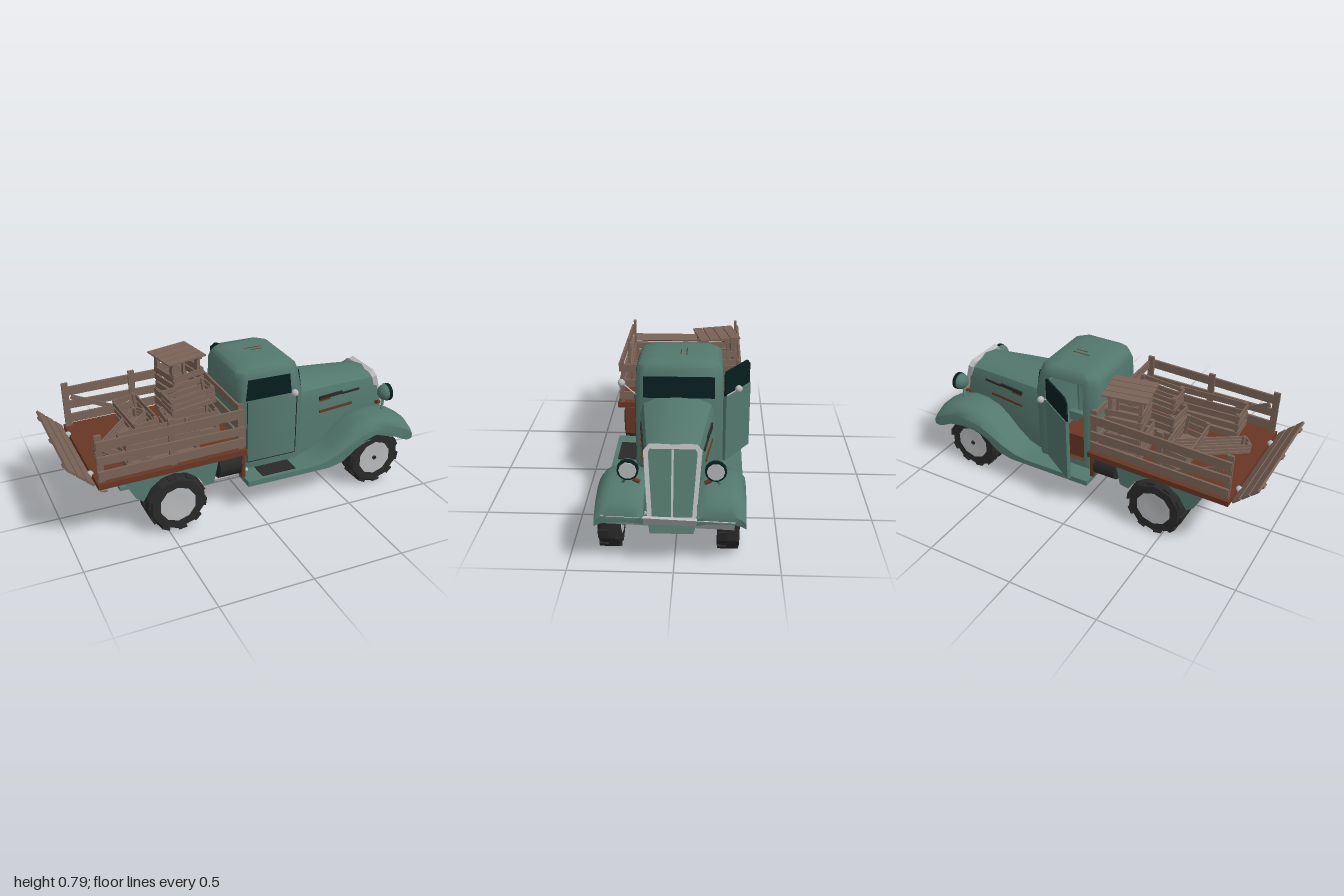
import * as THREE from 'three';
import { toCreasedNormals } from 'three/addons/utils/BufferGeometryUtils.js';

const paint = (name, color, side = THREE.FrontSide) => {
  const m = new THREE.MeshStandardMaterial({ color, side });
  m.name = name;
  return m;
};

export function createModel() {
  const teal = paint('teal paint', 0x53786d, THREE.DoubleSide);
  const glass = paint('dark glass', 0x071e1f);
  const rust = paint('rust', 0x683624);
  const wood = paint('weathered wood', 0x7a6357);
  const rubber = paint('black rubber', 0x292929);
  const metal = paint('grey metal', 0xb8babc);
  const amber = paint('tan lamp', 0xb09a84);

  const model = new THREE.Group();
  const truck = new THREE.Group();
  truck.name = 'truck';
  truck.position.z = 0.015;
  model.add(truck);

  const add = (name, geo, mat, pos = [0, 0, 0], rot = [0, 0, 0], parent = truck) => {
    const m = new THREE.Mesh(geo, mat);
    m.name = name;
    m.position.set(...pos);
    m.rotation.set(...rot);
    parent.add(m);
    return m;
  };
  const group = (name, pos, rot = [0, 0, 0], parent = truck) => {
    const g = new THREE.Group();
    g.name = name;
    g.position.set(...pos);
    g.rotation.set(...rot);
    parent.add(g);
    return g;
  };
  const box = (name, size, mat, pos, rot, parent) => add(name, new THREE.BoxGeometry(...size), mat, pos, rot, parent);
  const points = (pts) => pts.map((p) => new THREE.Vector2(...p));
  const shape = (pts) => new THREE.Shape(points(pts));
  const extrude = (s, depth, steps = 1) => new THREE.ExtrudeGeometry(s, { depth, steps, bevelEnabled: false });
  // cylinder between two points
  const rod = (name, a, b, r, mat, parent, sides = 10) => {
    const p = new THREE.Vector3(...a), q = new THREE.Vector3(...b);
    const m = add(name, new THREE.CylinderGeometry(r, r, p.distanceTo(q), sides), mat, p.clone().lerp(q, 0.5).toArray(), [0, 0, 0], parent);
    m.quaternion.setFromUnitVectors(new THREE.Vector3(0, 1, 0), q.sub(p).normalize());
    return m;
  };
  // skin over closed rings, last ring capped, chosen panels left open
  const loft = (rings, crease, open = () => false) => {
    const n = rings[0].length, idx = [];
    for (let i = 0; i < rings.length - 1; i++) for (let j = 0; j < n; j++) {
      if (open(i, j)) continue;
      const a = i * n + j, b = i * n + (j + 1) % n;
      idx.push(a, a + n, b, b, a + n, b + n);
    }
    const last = (rings.length - 1) * n;
    for (let j = 1; j < n - 1; j++) idx.push(last, last + j + 1, last + j);
    const g = new THREE.BufferGeometry();
    g.setAttribute('position', new THREE.Float32BufferAttribute(rings.flat(2), 3));
    g.setIndex(idx);
    return toCreasedNormals(g, crease);
  };

  // cab shell, rounded towards the roof, right doorway open
  const cab = group('cab', [0, 0, -0.013]);
  const cabRows = [[0.17, -0.05, 0.33, 0.228, 0.03], [0.24, -0.05, 0.335, 0.228, 0.03], [0.6, -0.05, 0.34, 0.226, 0.03],
    [0.72, -0.05, 0.318, 0.222, 0.04], [0.758, -0.045, 0.308, 0.214, 0.05], [0.78, -0.02, 0.285, 0.193, 0.05], [0.792, 0.04, 0.22, 0.14, 0.04]];
  const cabRings = cabRows.map(([y, a, b, h, r]) => [[a, -h + r], [a + r, -h], [a + (b - a) * 0.2, -h], [a + (b - a) * 0.77, -h],
    [b - r, -h], [b, -h + r], [b, h - r], [b - r, h], [a + r, h], [a, h - r]].map(([x, z]) => [x, y, z]));
  add('cabShell', loft(cabRings, 0.9, (i, j) => j === 2 && (i === 1 || i === 2)), teal, undefined, undefined, cab);
  box('windshield', [0.008, 0.11, 0.365], glass, [0.331, 0.66, 0], [0, 0, 0.18], cab);
  add('leftWindow', extrude(shape([[-0.008, 0.61], [0.262, 0.61], [0.25, 0.722], [0.005, 0.725]]), 0.006), glass, [0, 0, 0.2425], [-0.033, 0, 0], cab);
  for (const x of [0.0, 0.295]) box('doorSeam', [0.004, 0.36, 0.004], rubber, [x, 0.42, 0.228], undefined, cab);
  box('doorSeam', [0.295, 0.004, 0.004], rubber, [0.147, 0.24, 0.228], undefined, cab);
  box('roofScratch', [0.1, 0.002, 0.006], rust, [0.15, 0.792, -0.035], undefined, cab);
  box('roofScratch', [0.07, 0.002, 0.005], rust, [0.16, 0.792, -0.005], undefined, cab);
  box('seatBase', [0.2, 0.14, 0.36], rust, [0.07, 0.29, 0], undefined, cab);
  box('seatBack', [0.05, 0.35, 0.36], rust, [-0.015, 0.4, 0], undefined, cab);
  box('cabFloor', [0.36, 0.02, 0.4], rust, [0.14, 0.2, 0], undefined, cab);

  // right door swung open on its front hinge
  const door = group('openDoor', [0.25, 0, -0.235], [0, -0.56, 0], cab);
  box('doorPanel', [0.25, 0.37, 0.02], teal, [-0.125, 0.395, 0], undefined, door);
  add('doorWindow', extrude(shape([[0, 0.58], [0, 0.7], [-0.01, 0.715], [-0.225, 0.715], [-0.25, 0.69], [-0.25, 0.58]]), 0.009), glass, [0, 0, -0.0045], undefined, door);

  // hood and raked nose
  const hoodRing = (x, hw, low, top, rake) => {
    const half = [[low, 0.2], [hw, top - 0.1], [hw * 0.9, top - 0.037], [hw * 0.55, top - 0.008]];
    return [...half, [0, top], ...half.map(([z, y]) => [-z, y]).reverse()].map(([z, y]) => [x + (top - y) * rake, y, z]);
  };
  add('hood', loft([hoodRing(0.32, 0.195, 0.2, 0.612, 0), hoodRing(0.6, 0.16, 0.15, 0.603, 0.1), hoodRing(0.84, 0.13, 0.1, 0.59, 0.34)], 0.7), teal, [0, 0, -0.006]);
  for (const s of [1, -1])
    for (const [x, y, w, h, m] of [[0.54, 0.518, 0.16, 0.018, rubber], [0.68, 0.511, 0.12, 0.01, rubber], [0.5, 0.503, 0.07, 0.01, rust], [0.58, 0.434, 0.23, 0.014, rust]])
      box('hoodVent', [w, h, 0.009], m, [x, y, s * (0.197 - (x - 0.32) * 0.127) - 0.006], [0, s * 0.127, 0]);

  // grille on the raked nose
  const grille = group('grille', [0.95, 0.27, -0.008], [0, 0, 0.33]);
  const frame = shape([[-0.112, 0], [-0.135, 0.31], [-0.11, 0.338], [0.11, 0.338], [0.135, 0.31], [0.112, 0]]);
  frame.holes.push(shape([[-0.092, 0.004], [0.092, 0.004], [0.113, 0.3], [0.105, 0.318], [-0.105, 0.318], [-0.113, 0.3]]));
  const acrossNose = [0, Math.PI / 2, 0];
  add('grilleFrame', extrude(frame, 0.03), metal, [-0.018, 0, 0], acrossNose, grille);
  add('grillePanel', extrude(shape([[-0.1, 0], [0.1, 0], [0.12, 0.31], [0.1, 0.33], [-0.1, 0.33], [-0.12, 0.31]]), 0.006), teal, [-0.004, 0, 0], acrossNose, grille);
  box('grilleBar', [0.012, 0.31, 0.01], metal, [0.005, 0.16, 0], undefined, grille);
  for (let i = 0; i < 13; i++) box('grilleRib', [0.004, 0.004, 0.15 + i * 0.003], teal, [0.002, 0.025 + i * 0.022, 0], undefined, grille);

  // front fenders sweeping into the running boards, crowned towards the outer edge
  const fender = shape([[0.985, 0.262], [0.988, 0.305], [0.96, 0.348], [0.91, 0.38], [0.82, 0.402], [0.73, 0.4], [0.65, 0.378], [0.58, 0.335],
    [0.5, 0.265], [0.42, 0.215], [0.35, 0.2], [-0.05, 0.2], [-0.05, 0.17], [0.45, 0.17], [0.53, 0.19], [0.57, 0.23], [0.62, 0.29], [0.68, 0.33],
    [0.78, 0.338], [0.87, 0.315], [0.92, 0.275], [0.955, 0.255]]);
  const fenderWidth = 0.225;
  const fenderSkin = extrude(fender, fenderWidth, 10);
  const fp = fenderSkin.attributes.position;
  for (let i = 0; i < fp.count; i++) {
    const t = fp.getZ(i) / fenderWidth * 2 - 1, lift = THREE.MathUtils.clamp((fp.getY(i) - 0.2) / 0.15, 0, 1);
    fp.setY(i, fp.getY(i) - (t > 0 ? 0.055 : 0.025) * lift * Math.abs(t) ** 3.5);
  }
  const fenderGeo = toCreasedNormals(fenderSkin, 0.7);
  const rearFender = shape([[-0.73, 0.362], [-0.66, 0.23], [-0.62, 0.2], [-0.58, 0.27], [-0.52, 0.315], [-0.45, 0.33], [-0.38, 0.315],
    [-0.32, 0.27], [-0.28, 0.21], [-0.23, 0.22], [-0.2, 0.362]]);
  // wheel: blocky tyre with a plain hub disc
  const wheel = (name, x, z, w, s) => {
    const g = group(name, [x, 0.167, z], [Math.PI / 2 * s, 0, 0]);
    const profile = points([[0.1, -w], [0.146, -w], [0.162, -w * 0.7], [0.162, w * 0.7], [0.146, w], [0.1, w]]);
    add('tyre', toCreasedNormals(new THREE.LatheGeometry(profile, 10), 0.5), rubber, undefined, undefined, g);
    const dish = points([[0, -w * 0.7], [0.11, -w * 0.75], [0.112, w * 0.98], [0.1, w], [0.05, w * 0.9], [0, w * 0.95]]);
    add('hub', toCreasedNormals(new THREE.LatheGeometry(dish, 10), 0.5), metal, undefined, undefined, g);
    for (let i = 0; i < 10; i++) for (const e of [1, -1]) {
      const a = (i + (e > 0 ? 0.25 : 0.75)) * Math.PI / 5;
      box('treadLug', [0.045, w * 0.85, 0.012], rubber, [Math.sin(a) * 0.154, e * w * 0.53, Math.cos(a) * 0.154], [0, a, 0], g);
    }
    return g;
  };
  for (const s of [1, -1]) {
    add('frontFender', fenderGeo, teal, [0, 0, s * 0.122]).scale.z = s;
    add('rearFender', extrude(rearFender, 0.16), teal, [0, 0, s > 0 ? 0.14 : -0.3]);
    const front = wheel('frontWheel', 0.74, s > 0 ? 0.294 : -0.268, 0.053, s);
    add('hubCap', new THREE.CylinderGeometry(0.012, 0.012, 0.008, 8), rubber, [0, 0.053, 0], undefined, front);
    wheel('rearWheel', -0.45, s > 0 ? 0.268 : -0.258, 0.078, s);
    // headlights
    const lamp = group('headlight', [0.885, 0.485, s * 0.2 - 0.005], [0, 0, -Math.PI / 2]);
    add('lampBowl', new THREE.SphereGeometry(0.048, 14, 6, 0, Math.PI * 2, Math.PI / 2, Math.PI / 2), teal, undefined, undefined, lamp);
    add('lampRim', new THREE.CylinderGeometry(0.05, 0.05, 0.02, 14), glass, [0, 0.008, 0], undefined, lamp);
    add('lampLens', new THREE.CylinderGeometry(0.041, 0.043, 0.012, 10), metal, [0, 0.016, 0], undefined, lamp);
    rod('lampStalk', [0.87, 0.45, s * 0.2], [0.84, 0.38, s * 0.23], 0.007, teal);
    rod('lampBrace', [0.86, 0.42, s * 0.18 - 0.005], [0.86, 0.405, s * 0.15 - 0.005], 0.01, rust);
    // frame rails, tail lamps, bumper brackets
    box('frameRail', [1.5, 0.06, 0.035], teal, [0.06, 0.25, s * 0.12]);
    box('tailLampBracket', [0.02, 0.1, 0.02], wood, [-0.8, 0.32, s * 0.23]);
    add('tailLamp', new THREE.CylinderGeometry(0.022, 0.022, 0.03, 8), amber, [-0.81, 0.3, s * 0.24], [0, 0, Math.PI / 2]);
    add('gateHinge', new THREE.SphereGeometry(0.018, 8, 6), metal, [-0.866, 0.385, s * 0.225]);
    rod('bumperBracket', [0.85, 0.25, s * 0.1], [0.945, 0.26, s * 0.1], 0.01, metal);
    // fuel tanks
    rod('fuelTank', [-0.2, 0.29, s * 0.25], [-0.075, 0.29, s * 0.25], 0.07, rubber, truck, 12);
  }
  box('stepPlate', [0.2, 0.008, 0.1], rubber, [0.145, 0.201, 0.272]);
  // bumper blade leaning forward under the fender lips
  box('bumper', [0.012, 0.07, 0.61], metal, [0.966, 0.258, 0.01], [-0.04, 0, -0.55]);
  box('rearCabPanel', [0.02, 0.16, 0.62], rust, [-0.062, 0.295, 0]);
  box('tankBulkhead', [0.15, 0.14, 0.38], rust, [-0.135, 0.295, 0]);

  // mirrors, one on each door
  for (const [y, z, root] of [[0.645, 0.29, 0.215], [0.62, -0.32, -0.26]]) {
    rod('mirrorArm', [0.25, 0.585, root], [0.24, y, z], 0.004, metal);
    add('mirror', new THREE.SphereGeometry(0.02, 8, 6), metal, [0.24, y, z]);
  }

  // underside and running gear
  box('underTray', [0.66, 0.02, 0.45], teal, [0.28, 0.18, 0]);
  box('rearTray', [0.65, 0.02, 0.34], teal, [-0.38, 0.22, 0]);
  for (const x of [0.74, -0.45]) {
    rod('axle', [x, 0.174, -0.23], [x, 0.174, 0.24], 0.018, metal);
    add('differential', toCreasedNormals(new THREE.LatheGeometry(points([[0.015, -0.1], [0.036, -0.03], [0.046, 0], [0.036, 0.03], [0.015, 0.1]]), 10), 0.6),
      metal, [x, 0.17, 0.004], [Math.PI / 2, 0, 0]);
  }
  rod('driveShaft', [-0.45, 0.165, 0], [0.74, 0.165, 0], 0.014, metal);
  rod('axleMount', [0.74, 0.18, 0], [0.74, 0.25, 0], 0.014, rubber);
  rod('exhaust', [-0.3, 0.188, 0.22], [0.0, 0.195, 0.22], 0.016, metal);

  // stake bed
  const bed = group('bed', [-0.46, 0.38, 0], [0, 0, 0.02]);
  box('bedFloor', [0.8, 0.03, 0.7], rust, undefined, undefined, bed);
  for (const s of [1, -1]) {
    for (const [y, h, t] of [[0.055, 0.05, 0.005], [0.13, 0.045, -0.015], [0.22, 0.05, 0.008]])
      box('sideRail', [0.78, h, 0.012], wood, [0, y, s * 0.335], [0, 0, t], bed);
    for (const x of [-0.375, 0.0, 0.375]) box('stake', [0.035, 0.265, 0.014], wood, [x, 0.14, s * 0.322], undefined, bed);
    box('sideBrace', [0.3, 0.025, 0.01], wood, [-0.21, 0.12, s * 0.324], [0, 0, -0.45], bed);
  }
  for (const y of [0.055, 0.13, 0.22]) box('frontRail', [0.012, 0.045, 0.66], wood, [0.388, y, 0], undefined, bed);
  // lowered tailgate
  const gate = group('tailgate', [-0.868, 0.378, 0], [0, 0, 0.82]);
  for (const y of [0.035, 0.095, 0.155]) box('gateSlat', [0.012, 0.05, 0.68], wood, [0, y, 0], undefined, gate);
  for (const z of [-0.27, 0, 0.27]) box('gatePost', [0.012, 0.17, 0.035], wood, [-0.01, 0.095, z], undefined, gate);

  // slatted crates
  const crate = (w, h, d, pos, rot) => {
    const g = group('crate', pos, rot);
    for (const s of [1, -1]) {
      for (let i = 0; i < 3; i++) {
        const y = h * (i + 0.5) / 3;
        box('crateSlat', [w, h * 0.24, 0.008], wood, [0, y, s * d / 2], undefined, g);
        box('crateSlat', [0.008, h * 0.24, d], wood, [s * w / 2, y, 0], undefined, g);
      }
      for (const e of [1, -1]) box('cratePost', [0.018, h, 0.018], wood, [s * (w / 2 - 0.01), h / 2, e * (d / 2 - 0.01)], undefined, g);
    }
    for (let i = 0; i < 4; i++) box('crateBoard', [w, 0.008, d * 0.2], wood, [0, 0.004, d * ((i + 0.5) / 4 - 0.5)], undefined, g);
  };
  crate(0.2, 0.15, 0.2, [-0.23, 0.395, -0.2], [0, 0.1, 0]);
  crate(0.19, 0.14, 0.2, [-0.22, 0.55, -0.2], [0, 0.2, 0.05]);
  crate(0.28, 0.15, 0.16, [-0.265, 0.4, 0.05], [0, -0.03, 0.03]);
  crate(0.25, 0.1, 0.13, [-0.26, 0.565, 0.045], [0, 0.06, 0.12]);
  crate(0.39, 0.15, 0.15, [-0.5, 0.4, 0.22], [0, 0.04, 0]);
  crate(0.13, 0.13, 0.34, [-0.5, 0.4, -0.11], [0, 0.05, 0.15]);
  crate(0.42, 0.06, 0.08, [-0.62, 0.41, -0.03], [0, 0.75, 0.12]);
  // raised lid on the tall stack
  const lid = group('crateLid', [-0.235, 0.752, -0.2], [0.03, 0.2, 0.02]);
  for (let i = 0; i < 4; i++) box('lidBoard', [0.24, 0.008, 0.052], wood, [0, 0.01, -0.085 + i * 0.057], undefined, lid);
  for (const x of [-0.08, 0.08]) {
    box('lidBatten', [0.025, 0.01, 0.22], wood, [x, 0, 0], undefined, lid);
    for (const z of [-0.08, 0.08]) box('lidPost', [0.02, 0.08, 0.03], wood, [x, -0.04, z], undefined, lid);
  }

  return model;
}
